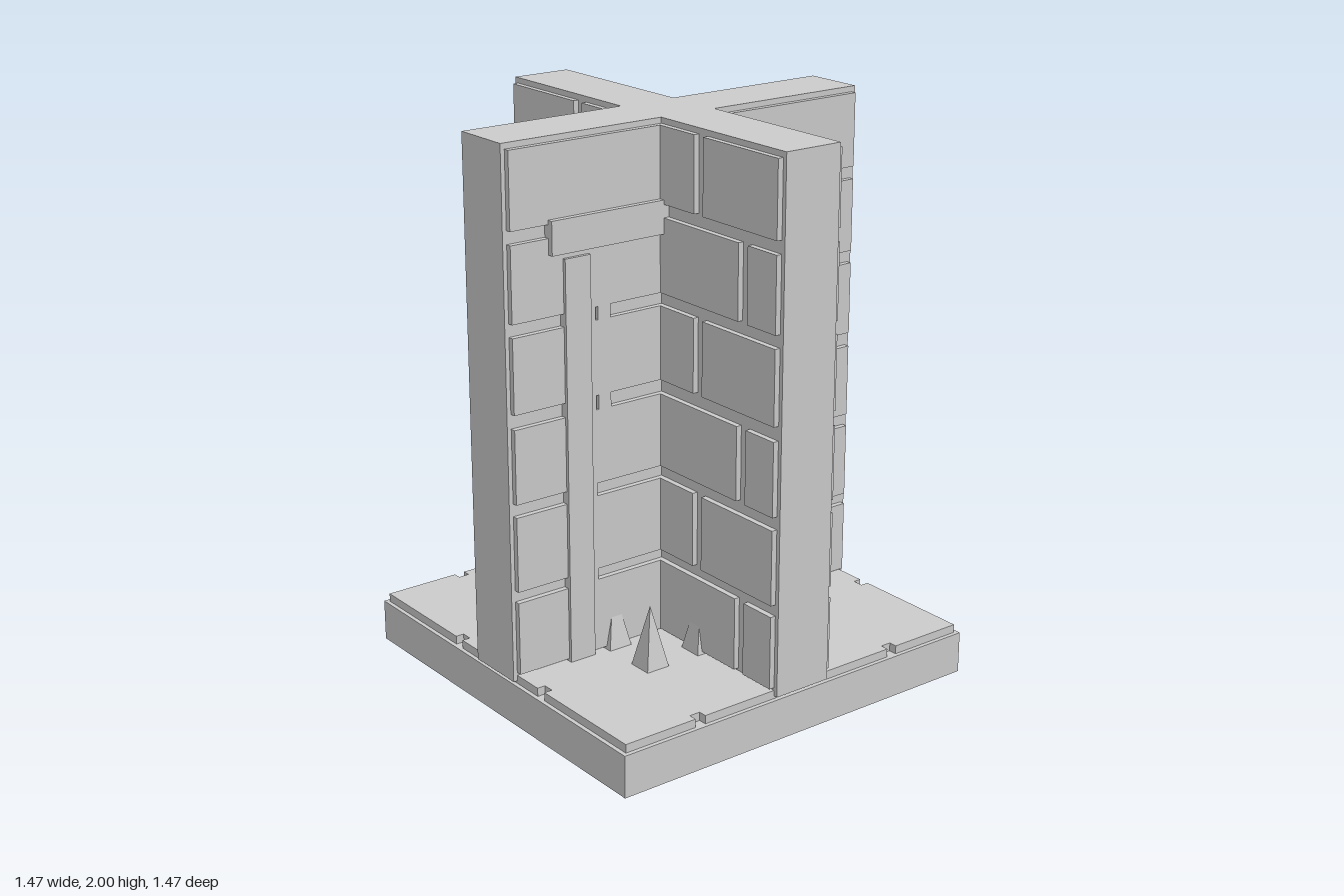
import * as THREE from 'three';

const material = new THREE.MeshStandardMaterial({ color: 0xcccccc, flatShading: true });

export function createModel() {
  const model = new THREE.Group();
  model.name = 'crossWallTower';

  const add = (parent, name, geometry) => {
    const mesh = new THREE.Mesh(geometry, material);
    mesh.name = name;
    parent.add(mesh);
    return mesh;
  };
  // Box given by its lower and upper limits on each axis
  const box = (parent, name, x0, x1, y0, y1, z0, z1) => {
    const mesh = add(parent, name, new THREE.BoxGeometry(x1 - x0, y1 - y0, z1 - z0));
    mesh.position.set((x0 + x1) / 2, (y0 + y1) / 2, (z0 + z1) / 2);
    return mesh;
  };
  // Flat outline in x/z raised from y0 to y1
  const slab = (name, points, y0, y1) => {
    const shape = new THREE.Shape(points.map(([x, z]) => new THREE.Vector2(x, z)));
    const geometry = new THREE.ExtrudeGeometry(shape, { depth: y1 - y0, bevelEnabled: false });
    geometry.rotateX(-Math.PI / 2);
    add(model, name, geometry).position.y = y0;
  };

  // Base plate
  const half = 0.735, core = 0.11, face = 0.13, edge = 0.72;
  box(model, 'base', -half, half, 0, 0.15, -half, half);

  // Floor slab with small square notches along each edge
  const outline = [];
  const notches = [[-0.42, 0, 0.42], [-0.25, 0, 0.25], [-0.42, 0, 0.42], [-0.25, 0, 0.25]];
  notches.forEach((list, side) => {
    const angle = side * Math.PI / 2, c = Math.cos(angle), s = Math.sin(angle);
    const put = (x, z) => outline.push([x * c - z * s, x * s + z * c]);
    put(-edge, -edge);
    for (const n of list) {
      put(n - 0.02, -edge);
      put(n - 0.02, -edge + 0.03);
      put(n + 0.02, -edge + 0.03);
      put(n + 0.02, -edge);
    }
  });
  slab('floor', outline, 0.15, 0.18);

  // Crossed wall core
  slab('wallCore', [
    [core, core], [core, half], [-core, half], [-core, core],
    [-half, core], [-half, -core], [-core, -core], [-core, -half],
    [core, -half], [core, -core], [half, -core], [half, core],
  ], 0.16, 2);

  // Brick courses, bottom to top
  const rows = [[0.19, 0.45], [0.49, 0.755], [0.80, 1.06], [1.11, 1.37], [1.415, 1.675], [1.72, 1.98]];

  // Brick faces on both sides of the front-to-back wall
  for (const sx of [-1, 1]) {
    const side = new THREE.Group();
    side.name = sx > 0 ? 'leftBrickFace' : 'rightBrickFace';
    model.add(side);
    rows.forEach(([y0, y1], i) => {
      const [j0, j1] = i % 2 ? [0.308, 0.353] : [0.535, 0.58];
      const xs = sx > 0 ? [0.1, face] : [-face, -0.1];
      for (const sz of [-1, 1]) {
        for (const [a, b] of [[0.1, j0], [j1, edge]]) {
          const [z0, z1] = sz > 0 ? [a, b] : [-b, -a];
          box(side, 'brick', xs[0], xs[1], y0, y1, z0, z1);
        }
      }
    });
  }

  // Doorway faces on the front and back of the cross wall
  for (const sz of [-1, 1]) {
    const door = new THREE.Group();
    door.name = sz > 0 ? 'frontDoorway' : 'backDoorway';
    model.add(door);
    const part = (name, x0, x1, y0, y1, depth) => {
      const [z0, z1] = sz > 0 ? [0.1, depth] : [-depth, -0.1];
      box(door, name, x0, x1, y0, y1, z0, z1);
    };
    for (const sx of [-1, 1]) {
      const half2 = (name, a, b, y0, y1, depth) =>
        sx > 0 ? part(name, a, b, y0, y1, depth) : part(name, -b, -a, y0, y1, depth);
      rows.forEach(([y0, y1]) => half2('course', 0.1, edge, y0, y1, face));
      half2('doorEdge', 0.395, 0.47, 0.19, 1.675, face);
      // Upper joints are interrupted by a short filler
      for (const i of [3, 4]) half2('jointFiller', 0.335, 0.385, rows[i - 1][1], rows[i][0], face);
      half2('doorPost', 0.42, 0.52, 0.18, 1.6, 0.142);
    }
    part('lintel', -0.575, 0.575, 1.62, 1.735, 0.15);
  }

  // Floor spikes, some of them half sunk into the walls
  const spike = new THREE.ConeGeometry(0.045 * Math.SQRT2, 0.22, 4);
  spike.rotateY(Math.PI / 4);
  for (const sx of [-1, 1]) for (const sz of [-1, 1]) {
    for (const [x, z] of [[0.32, 0.32], [0.105, 0.32], [0.32, 0.108]]) {
      add(model, 'spike', spike).position.set(sx * x, 0.29, sz * z);
    }
  }
  return model;
}
